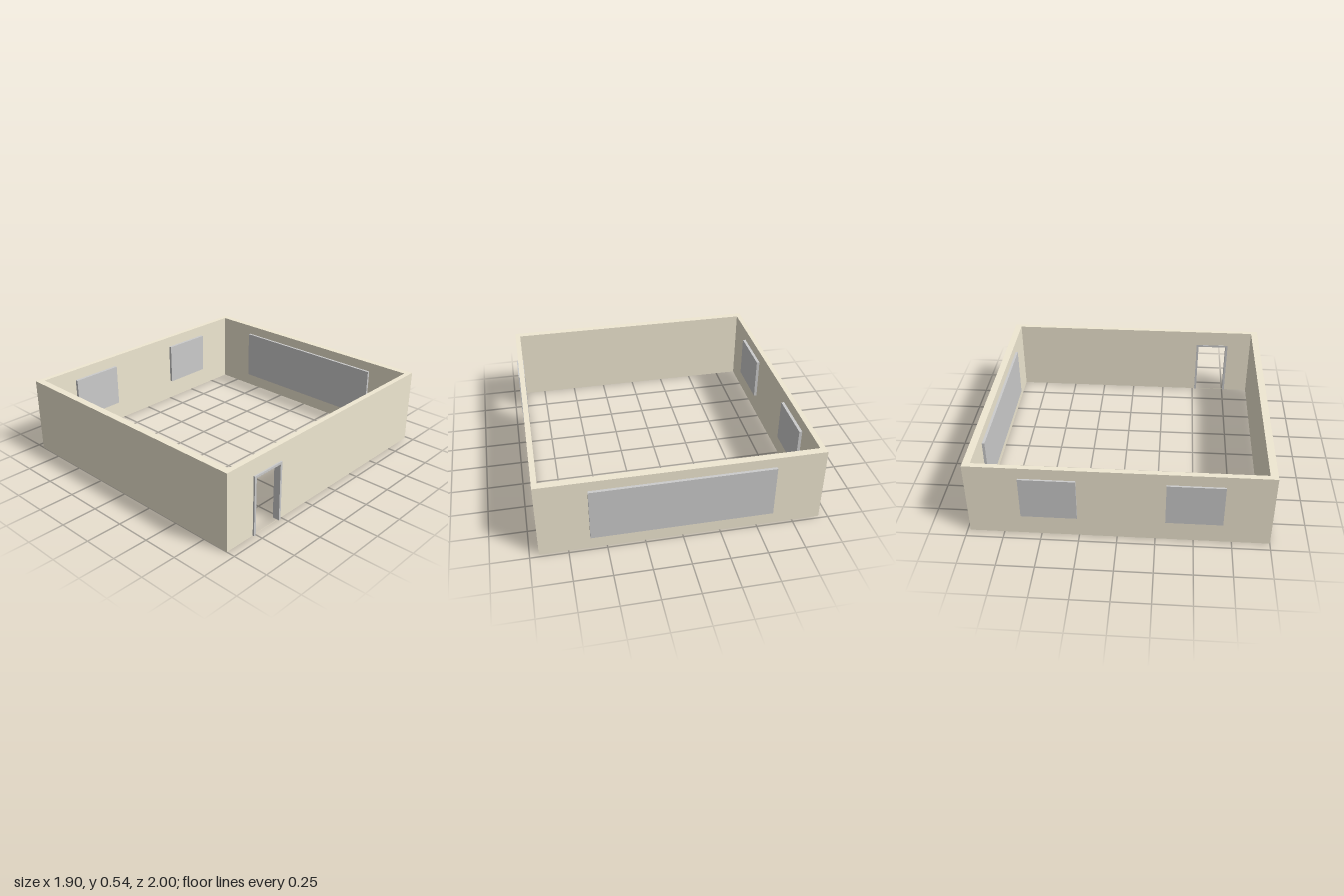
import * as THREE from 'three';

const wallMat = new THREE.MeshStandardMaterial({ color: 0xf0e8d2 });
const greyMat = new THREE.MeshStandardMaterial({ color: 0xcccccc });

// Box given by its lower and upper corners
function box(name, mat, [x0, y0, z0], [x1, y1, z1]) {
  const mesh = new THREE.Mesh(new THREE.BoxGeometry(x1 - x0, y1 - y0, z1 - z0), mat);
  mesh.position.set((x0 + x1) / 2, (y0 + y1) / 2, (z0 + z1) / 2);
  mesh.name = name;
  return mesh;
}

function rect(target, z0, y0, z1, y1) {
  target.moveTo(-z0, y0).lineTo(-z1, y0).lineTo(-z1, y1).lineTo(-z0, y1).closePath();
  return target;
}

// Outline in (z, y) extruded along x from x0 to x1
function slab(name, mat, shape, x0, x1) {
  const geo = new THREE.ExtrudeGeometry(shape, { depth: x1 - x0, bevelEnabled: false });
  geo.rotateY(Math.PI / 2).translate(x0, 0, 0);
  const mesh = new THREE.Mesh(geo, mat);
  mesh.name = name;
  return mesh;
}

export function createModel() {
  const room = new THREE.Group();
  room.name = 'room';
  const X = 0.94, XI = 0.904, H = 0.54;

  // Walls
  room.add(box('frontWall', wallMat, [-X, 0, 0.95], [X, H, 1]));
  room.add(box('backWall', wallMat, [-X, 0, -0.98], [X, H, -0.93]));
  room.add(box('rightWall', wallMat, [-X, 0, -0.93], [-XI, H, 0.95]));

  // Wall with the doorway, keeping a thin sill
  const doorWall = rect(new THREE.Shape(), -0.93, 0, 0.95, H);
  doorWall.holes.push(rect(new THREE.Path(), 0.525, 0.004, 0.762, 0.415));
  room.add(slab('doorWall', wallMat, doorWall, XI, X));

  // Door frame: two jambs and a lintel
  const frame = new THREE.Shape();
  [[0.517, 0], [0.517, 0.423], [0.77, 0.423], [0.77, 0], [0.754, 0],
    [0.754, 0.407], [0.533, 0.407], [0.533, 0]]
    .forEach(([z, y], i) => (i ? frame.lineTo(-z, y) : frame.moveTo(-z, y)));
  room.add(slab('doorFrame', greyMat, frame, 0.901, 0.951));

  // Window panels, standing proud on both sides of the walls
  for (const [z0, z1] of [[-0.63, -0.26], [0.313, 0.686]])
    room.add(box('sideWindow', greyMat, [-0.953, 0.153, z0], [-0.883, 0.459, z1]));
  room.add(box('backWindow', greyMat, [-0.605, 0.098, -1], [0.607, 0.47, -0.912]));

  return room;
}
